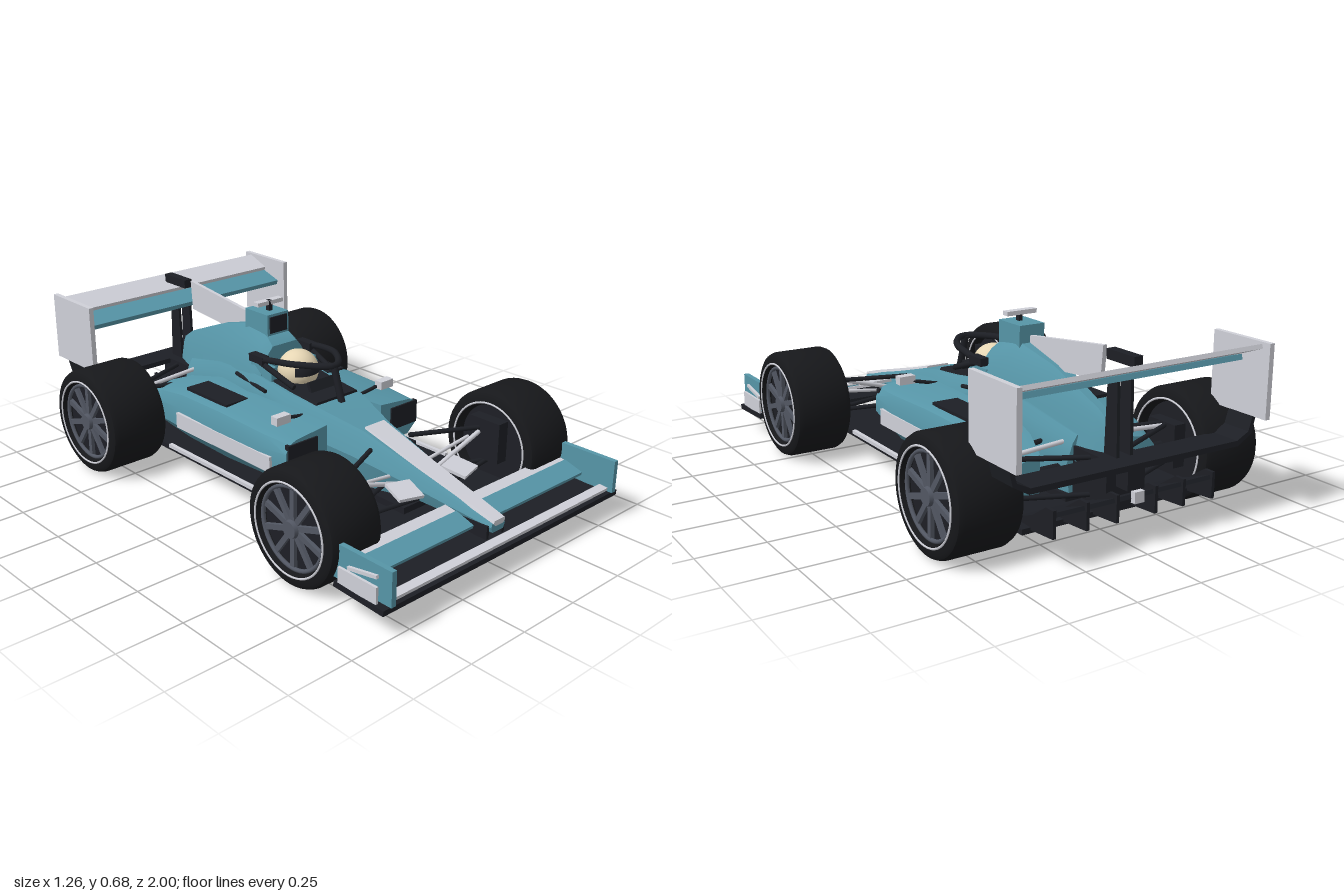
import * as THREE from 'three';
import { toCreasedNormals } from 'three/addons/utils/BufferGeometryUtils.js';

const mat = (color) => new THREE.MeshStandardMaterial({ color, side: THREE.DoubleSide });

export function createModel() {
  const car = new THREE.Group();
  car.name = 'racingCar';
  const teal = mat(0x5695a7), light = mat(0xcfd0d8), dark = mat(0x1d1f25);
  const black = mat(0x17181b), grey = mat(0x525763), cream = mat(0xe6d6b4);

  const add = (name, geo, m, parent = car) => {
    const mesh = new THREE.Mesh(geo, m);
    mesh.name = name;
    parent.add(mesh);
    return mesh;
  };
  const box = (name, m, [w, h, d], [x, y, z], parent) => {
    const b = add(name, new THREE.BoxGeometry(w, h, d), m, parent);
    b.position.set(x, y, z);
    return b;
  };
  // Straight bar between two points
  const rod = (name, m, a, b, r, flat = 1) => {
    const p = new THREE.Vector3(...a), q = new THREE.Vector3(...b), d = q.clone().sub(p);
    const mesh = add(name, new THREE.CylinderGeometry(r, r, d.length(), 8), m);
    mesh.position.copy(p).add(q).multiplyScalar(0.5);
    mesh.quaternion.setFromUnitVectors(new THREE.Vector3(0, 1, 0), d.normalize());
    mesh.scale.set(1, 1, flat);
    return mesh;
  };
  // Cross-wise plank from [z, y] to [z, y]
  const plank = (name, m, x1, x2, [z1, y1], [z2, y2], t) => {
    const b = box(name, m, [x2 - x1, t, Math.hypot(z2 - z1, y2 - y1)], [(x1 + x2) / 2, (y1 + y2) / 2, (z1 + z2) / 2]);
    b.rotation.x = -Math.atan2(y2 - y1, z2 - z1);
    return b;
  };
  // Side outline in [z, y], given a thickness in x
  const sidePlate = (name, m, pts, x, t) => {
    const shape = new THREE.Shape(pts.map(([z, y]) => new THREE.Vector2(-z, y)));
    const g = new THREE.ExtrudeGeometry(shape, { depth: t, bevelEnabled: false });
    g.translate(0, 0, -t / 2).rotateY(Math.PI / 2);
    add(name, g, m).position.x = x;
  };
  // Skin over cross-sections [z, [[x, y], ...]] listed front to back
  const loft = (name, m, sections) => {
    const pos = [], n = sections[0][1].length;
    let area = 0;
    sections[0][1].forEach(([x, y], i, p) => { const [u, v] = p[(i + 1) % n]; area += x * v - u * y; });
    const P = (s, i) => { const [x, y] = sections[s][1][i % n]; return [x, y, sections[s][0]]; };
    const tri = (a, b, c) => (area > 0 ? pos.push(...a, ...b, ...c) : pos.push(...a, ...c, ...b));
    const last = sections.length - 1;
    for (let s = 0; s < last; s++) for (let i = 0; i < n; i++) {
      tri(P(s, i), P(s + 1, i), P(s + 1, i + 1));
      tri(P(s, i), P(s + 1, i + 1), P(s, i + 1));
    }
    for (let i = 1; i < n - 1; i++) {
      tri(P(0, 0), P(0, i), P(0, i + 1));
      tri(P(last, 0), P(last, i + 1), P(last, i));
    }
    const g = new THREE.BufferGeometry();
    g.setAttribute('position', new THREE.Float32BufferAttribute(pos, 3));
    add(name, toCreasedNormals(g, 0.5), m);
  };
  // Symmetric section from half widths at bottom, waist, shoulder and top
  const sym = ([z, wb, wm, wt, yb, ym, yt]) => {
    const half = [[wb, yb], [wm, ym], [wm * 0.45 + wt * 0.55, ym * 0.3 + yt * 0.7], [wt, yt]];
    return [z, [...half, ...half.map(([x, y]) => [-x, y]).reverse()]];
  };

  // Nose and survival cell
  loft('noseAndTub', teal, [
    [0.93, 0.028, 0.036, 0.026, 0.145, 0.165, 0.185],
    [0.6, 0.05, 0.07, 0.045, 0.155, 0.21, 0.27],
    [0.35, 0.085, 0.11, 0.065, 0.13, 0.25, 0.34],
    [0.16, 0.12, 0.155, 0.11, 0.11, 0.28, 0.385],
    [0, 0.13, 0.165, 0.12, 0.11, 0.3, 0.4],
    [-0.2, 0.13, 0.165, 0.13, 0.11, 0.33, 0.43],
    [-0.45, 0.12, 0.14, 0.1, 0.11, 0.28, 0.4],
    [-0.69, 0.09, 0.1, 0.06, 0.12, 0.25, 0.34],
  ].map(sym));
  // Engine cover
  loft('engineCover', teal, [
    [-0.16, 0.14, 0.125, 0.06, 0.3, 0.42, 0.53],
    [-0.2, 0.15, 0.13, 0.055, 0.3, 0.44, 0.56],
    [-0.31, 0.14, 0.115, 0.045, 0.3, 0.44, 0.585],
    [-0.5, 0.11, 0.08, 0.025, 0.28, 0.41, 0.535],
    [-0.74, 0.07, 0.045, 0.014, 0.25, 0.34, 0.44],
    [-0.8, 0.04, 0.03, 0.01, 0.26, 0.32, 0.4],
  ].map(sym));
  loft('noseStripe', light, [
    sym([0.935, 0.02, 0.03, 0.026, 0.17, 0.18, 0.19]),
    sym([0.6, 0.03, 0.043, 0.04, 0.25, 0.265, 0.276]),
    sym([0.34, 0.04, 0.052, 0.048, 0.32, 0.338, 0.35]),
  ]);

  // Cockpit opening, driver and headrest
  loft('cockpitOpening', dark, [
    sym([0.14, 0.1, 0.11, 0.1, 0.36, 0.38, 0.397]),
    sym([0, 0.1, 0.11, 0.105, 0.36, 0.39, 0.408]),
    sym([-0.17, 0.1, 0.115, 0.11, 0.36, 0.41, 0.432]),
  ]);
  const helmet = add('helmet', new THREE.SphereGeometry(0.08, 28, 20), cream);
  helmet.position.set(0, 0.445, -0.08);
  const visor = add('visor', new THREE.SphereGeometry(0.082, 20, 6, Math.PI * 0.22, Math.PI * 0.56, 1.2, 0.42), dark);
  visor.position.copy(helmet.position);
  box('steeringWheel', dark, [0.12, 0.05, 0.015], [0, 0.415, 0.05]).rotation.x = -0.4;

  // Halo
  const halo = new THREE.CatmullRomCurve3([
    [-0.125, 0.49, -0.2], [-0.125, 0.505, -0.1], [-0.1, 0.515, 0.02], [0, 0.515, 0.125],
    [0.1, 0.515, 0.02], [0.125, 0.505, -0.1], [0.125, 0.49, -0.2]].map((p) => new THREE.Vector3(...p)));
  add('halo', new THREE.TubeGeometry(halo, 40, 0.013, 8), dark);
  rod('haloPillar', dark, [0, 0.38, 0.165], [0, 0.515, 0.12], 0.014);

  // Roll hoop box, camera and fin
  box('airbox', teal, [0.106, 0.085, 0.135], [0, 0.602, -0.265]);
  box('airboxIntake', dark, [0.085, 0.065, 0.01], [0, 0.602, -0.197]);
  box('cameraMast', dark, [0.016, 0.05, 0.02], [0, 0.66, -0.25]);
  box('cameraBar', light, [0.126, 0.016, 0.03], [0, 0.677, -0.255]);
  sidePlate('sharkFin', light, [[-0.33, 0.605], [-0.75, 0.655], [-0.74, 0.535], [-0.46, 0.51], [-0.33, 0.56]], 0, 0.016);

  // Floor
  box('floor', dark, [0.74, 0.02, 1.5], [0, 0.105, -0.07]);
  box('keel', dark, [0.22, 0.04, 1.3], [0, 0.12, -0.05]);
  // Gearbox, diffuser and rear light
  box('gearbox', dark, [0.15, 0.17, 0.26], [0, 0.22, -0.74]);
  box('rearCrashStructure', dark, [0.07, 0.07, 0.1], [0, 0.245, -0.88]);
  box('rearLight', light, [0.04, 0.04, 0.02], [0, 0.19, -0.94]);
  box('exhaust', grey, [0.04, 0.04, 0.06], [0, 0.27, -0.87]);
  plank('diffuserRoof', dark, -0.33, 0.33, [-0.93, 0.19], [-0.72, 0.11], 0.015);
  for (const x of [-0.33, -0.2, -0.08, 0.08, 0.2, 0.33])
    sidePlate('diffuserFin', dark, [[-0.74, 0.1], [-0.94, 0.115], [-0.94, 0.21], [-0.9, 0.21]], x, 0.012);

  // Rear wing
  plank('rearMainPlane', teal, -0.5, 0.5, [-0.78, 0.545], [-0.875, 0.575], 0.02);
  plank('rearFlap', light, -0.5, 0.5, [-0.865, 0.592], [-0.965, 0.63], 0.016);
  box('flapActuator', dark, [0.035, 0.035, 0.14], [0, 0.635, -0.85]);
  const beam = [[-0.505, 0.38], [-0.49, 0.32], [-0.43, 0.285], [0.43, 0.285], [0.49, 0.32], [0.505, 0.38],
    [0.49, 0.38], [0.475, 0.33], [0.425, 0.305], [-0.425, 0.305], [-0.475, 0.33], [-0.49, 0.38]];
  const beamGeo = new THREE.ExtrudeGeometry(new THREE.Shape(beam.map((p) => new THREE.Vector2(...p))),
    { depth: 0.115, bevelEnabled: false });
  add('lowerBeamWing', beamGeo, dark).position.z = -0.945;

  // Front wing
  plank('frontLowerPlane', dark, -0.61, 0.61, [0.99, 0.105], [0.77, 0.115], 0.02);
  plank('frontLeadingEdge', light, -0.57, 0.57, [0.98, 0.128], [0.945, 0.132], 0.012);

  for (const s of [-1, 1]) {
    const rng = (a, b) => (s > 0 ? [a, b] : [-b, -a]);
    plank('frontFlap', teal, ...rng(0.05, 0.57), [0.865, 0.15], [0.785, 0.175], 0.014);
    plank('frontUpperFlap', light, ...rng(0.05, 0.57), [0.785, 0.172], [0.74, 0.184], 0.012);
    box('frontEndplate', teal, [0.02, 0.125, 0.26], [s * 0.575, 0.182, 0.87]);
    box('endplateStrake', light, [0.012, 0.012, 0.13], [s * 0.59, 0.195, 0.88]).rotation.x = -0.18;
    box('footplateEdge', light, [0.01, 0.06, 0.17], [s * 0.602, 0.15, 0.87]);
    box('wingPylon', dark, [0.012, 0.05, 0.12], [s * 0.04, 0.145, 0.86]);
    box('noseVane', light, [0.1, 0.012, 0.1], [s * 0.143, 0.23, 0.63]).rotation.set(0.2, s * 0.25, 0);

    // Sidepod
    const pod = ([z, xi, xo, yb, yt]) => [z, [
      [xi, yb], [xo - 0.05, yb], [xo, yb + (yt - yb) * 0.3], [xo, yb + (yt - yb) * 0.7],
      [xo - 0.02, yt - 0.012], [xo - 0.05, yt], [xi, yt + 0.015]].map(([x, y]) => [s * x, y])];
    loft('sidepod', teal, [
      [0.235, 0.14, 0.34, 0.19, 0.335], [0.1, 0.12, 0.352, 0.15, 0.34], [-0.15, 0.12, 0.354, 0.14, 0.348],
      [-0.4, 0.13, 0.345, 0.14, 0.34], [-0.56, 0.16, 0.325, 0.14, 0.31], [-0.66, 0.19, 0.305, 0.15, 0.27]].map(pod));
    box('sidepodInlet', dark, [0.14, 0.09, 0.02], [s * 0.262, 0.278, 0.232]);
    box('sidepodPanel', light, [0.012, 0.062, 0.565], [s * 0.352, 0.232, -0.118]);
    box('sidepodVent', dark, [0.105, 0.012, 0.25], [s * 0.252, 0.352, -0.27]);
    box('floorEdge', light, [0.016, 0.014, 0.8], [s * 0.372, 0.118, -0.03]);
    box('bargeboard', dark, [0.012, 0.11, 0.12], [s * 0.2, 0.17, 0.3]);

    // Mirrors and cockpit sides
    box('mirror', light, [0.066, 0.032, 0.035], [s * 0.267, 0.375, 0.125]);
    rod('mirrorStalk', dark, [s * 0.13, 0.345, 0.1], [s * 0.25, 0.37, 0.115], 0.007);
    rod('haloRail', dark, [s * 0.11, 0.425, 0.02], [s * 0.13, 0.495, -0.19], 0.011);
    box('haloMount', dark, [0.035, 0.03, 0.08], [s * 0.122, 0.495, -0.17]);
    box('headrestSide', teal, [0.03, 0.07, 0.12], [s * 0.105, 0.435, -0.16]);
    rod('coverSlot', dark, [s * 0.15, 0.385, -0.1], [s * 0.13, 0.4, -0.3], 0.008);

    // Rear wing supports
    box('rearEndplate', light, [0.02, 0.265, 0.265], [s * 0.505, 0.512, -0.867]);
    sidePlate('rearWingPillar', dark, [[-0.8, 0.24], [-0.87, 0.24], [-0.86, 0.57], [-0.81, 0.56]], s * 0.028, 0.012);

    // Suspension
    rod('frontUpperArm', light, [s * 0.09, 0.215, 0.56], [s * 0.34, 0.285, 0.55], 0.009);
    rod('frontUpperArm', dark, [s * 0.1, 0.3, 0.42], [s * 0.38, 0.29, 0.54], 0.009);
    rod('frontPushrod', light, [s * 0.08, 0.22, 0.5], [s * 0.34, 0.25, 0.5], 0.007);
    for (const z of [0.46, 0.62]) rod('frontLowerArm', dark, [s * 0.06, 0.17, z], [s * 0.39, 0.16, 0.56], 0.009);
    rod('rearUpperArm', light, [s * 0.08, 0.31, -0.645], [s * 0.38, 0.29, -0.645], 0.009);
    for (const z of [-0.54, -0.78]) {
      rod('rearUpperLink', dark, [s * 0.07, 0.29, z], [s * 0.39, 0.3, -0.645], 0.009);
      rod('rearLowerArm', dark, [s * 0.07, 0.16, z], [s * 0.39, 0.16, -0.645], 0.009);
    }
    rod('driveShaft', dark, [s * 0.05, 0.22, -0.645], [s * 0.4, 0.22, -0.645], 0.016);

    // Wheels
    for (const [name, x, z, w] of [['frontWheel', 0.5, 0.56, 0.23], ['rearWheel', 0.5, -0.645, 0.25]]) {
      const wheel = new THREE.Group(), h = w / 2;
      wheel.name = name;
      wheel.position.set(s * x, 0.22, z);
      wheel.rotation.z = -s * Math.PI / 2; // local +y points outward
      car.add(wheel);
      const profile = [[0.152, -h + 0.02], [0.16, -h], [0.19, -h], [0.203, -h + 0.008], [0.21, -h + 0.025],
        [0.21, h - 0.025], [0.203, h - 0.008], [0.19, h], [0.16, h], [0.152, h - 0.02], [0.152, -h + 0.02]];
      const tyre = new THREE.LatheGeometry(profile.map((p) => new THREE.Vector2(...p)), 48);
      add('tyre', toCreasedNormals(tyre, 0.6), black, wheel);
      add('brakeDrum', new THREE.CylinderGeometry(0.15, 0.15, w - 0.07, 40), dark, wheel);
      for (const e of [-1, 1]) {
        const ring = add('rimLine', new THREE.TorusGeometry(0.166, 0.004, 6, 48), light, wheel);
        ring.rotation.x = Math.PI / 2;
        ring.position.y = e * h;
      }
      const rim = add('rim', new THREE.TorusGeometry(0.147, 0.008, 8, 48), grey, wheel);
      rim.rotation.x = Math.PI / 2;
      rim.position.y = h - 0.02;
      const hub = add('hub', new THREE.CylinderGeometry(0.03, 0.036, 0.03, 20), grey, wheel);
      hub.position.y = h - 0.018;
      for (let i = 0; i < 10; i++) {
        const a = (i / 10) * Math.PI * 2;
        const spoke = box('spoke', grey, [0.12, 0.014, 0.02], [Math.cos(a) * 0.085, h - 0.024, -Math.sin(a) * 0.085], wheel);
        spoke.rotation.y = a;
      }
    }
    box('brakeDuct', dark, [0.05, 0.16, 0.14], [s * 0.385, 0.25, 0.56]);
    box('brakeDuct', dark, [0.05, 0.16, 0.14], [s * 0.375, 0.23, -0.645]);
  }
  return car;
}
